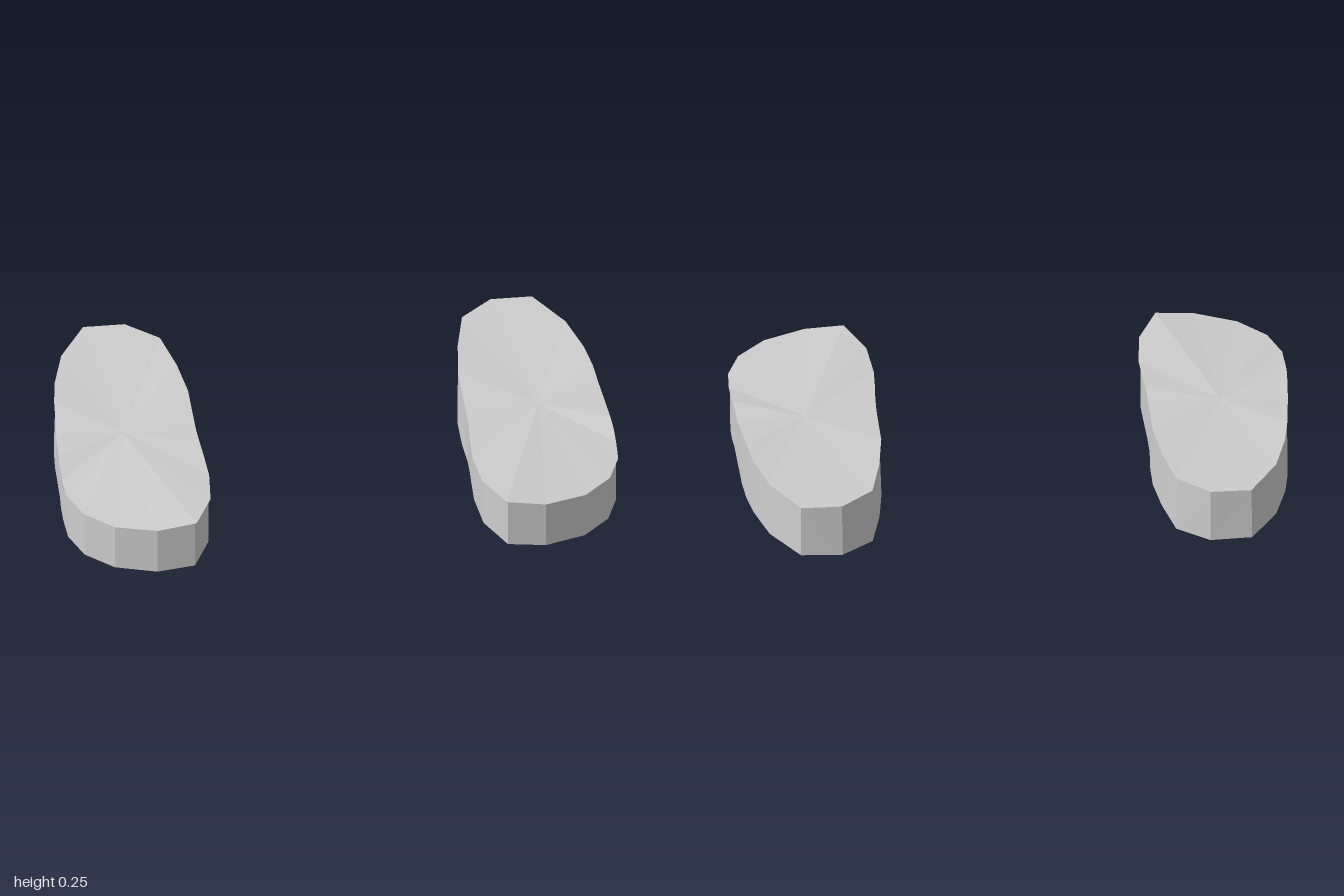
import * as THREE from 'three';

// Outline of the model's left sole: [x, z, top height, bottom height],
// running from the heel down the outer side, round the toe, back up the inner side
const OUTLINE = [
  [0.66, -0.64, 0.245, 0.045], [0.81, -0.64, 0.245, 0.05], [0.91, -0.47, 0.24, 0.04],
  [0.955, -0.3, 0.238, 0.028], [0.972, -0.18, 0.236, 0.016], [0.98, -0.08, 0.225, 0.012],
  [0.988, 0, 0.215, 0.01], [0.992, 0.07, 0.216, 0.018], [0.996, 0.14, 0.217, 0.03],
  [1.0, 0.2, 0.207, 0.025], [1.0, 0.27, 0.195, 0.014], [0.995, 0.37, 0.19, 0.01],
  [0.95, 0.49, 0.188, 0.008], [0.85, 0.59, 0.188, 0.01], [0.7, 0.645, 0.195, 0.015],
  [0.56, 0.635, 0.21, 0.024], [0.49, 0.48, 0.207, 0.02], [0.475, 0.32, 0.205, 0.018],
  [0.48, 0.2, 0.214, 0.015], [0.485, 0.12, 0.22, 0.006], [0.487, 0.04, 0.218, 0.0],
  [0.487, -0.06, 0.225, 0.002], [0.487, -0.19, 0.237, 0.008], [0.507, -0.36, 0.24, 0.024],
  [0.545, -0.54, 0.242, 0.036],
];
const CENTRE = [0.75, 0.02];

// Fan of triangles from a centre point to a ring
function fan(ring, centre, up) {
  const out = [];
  ring.forEach((p, i) => {
    const q = ring[(i + 1) % ring.length];
    out.push(...centre, ...(up ? q : p), ...(up ? p : q));
  });
  return out;
}

// Band of quads between an upper and a lower ring
function band(upper, lower) {
  const out = [];
  upper.forEach((a, i) => {
    const j = (i + 1) % upper.length;
    out.push(...a, ...upper[j], ...lower[i], ...upper[j], ...lower[j], ...lower[i]);
  });
  return out;
}

// Triangles to mesh, mirrored across x when side is -1
function toMesh(points, side, material, name) {
  const pos = points.slice();
  if (side < 0) {
    for (let i = 0; i < pos.length; i += 9) {
      for (let k = 0; k < 3; k++) {
        [pos[i + 3 + k], pos[i + 6 + k]] = [pos[i + 6 + k], pos[i + 3 + k]];
      }
      for (let k = 0; k < 9; k += 3) pos[i + k] *= -1;
    }
  }
  const g = new THREE.BufferGeometry();
  g.setAttribute('position', new THREE.Float32BufferAttribute(pos, 3));
  g.computeVertexNormals();
  const mesh = new THREE.Mesh(g, material);
  mesh.name = name;
  return mesh;
}

export function createModel() {
  const grey = new THREE.MeshStandardMaterial({ color: 0xcccccc, flatShading: true, side: THREE.DoubleSide });
  grey.name = 'soleGrey';

  // The cap overhangs the wall a little at the toe; the wall sits slightly further back
  const inset = (x) => CENTRE[0] + (x - CENTRE[0]) * 0.975;
  const cap = OUTLINE.map(([x, z, t]) => [x, t, z]);
  const wallTop = OUTLINE.map(([x, z, t]) => [inset(x), t - 0.004, z < 0 ? z + 0.002 : z - 0.014]);
  const wallBottom = OUTLINE.map(([x, z, , b]) => [z < 0 ? x : inset(x), b, z - 0.01]);

  const model = new THREE.Group();
  model.name = 'solePair';
  for (const side of [1, -1]) {
    const sole = new THREE.Group();
    sole.name = side > 0 ? 'leftSole' : 'rightSole';
    sole.add(
      toMesh(fan(cap, [CENTRE[0], 0.218, CENTRE[1]], true), side, grey, 'topFace'),
      toMesh(band(wallTop, wallBottom), side, grey, 'sideWall'),
      toMesh(fan(wallBottom, [CENTRE[0], 0.012, CENTRE[1]], false), side, grey, 'underside'),
    );
    model.add(sole);
  }
  return model;
}
